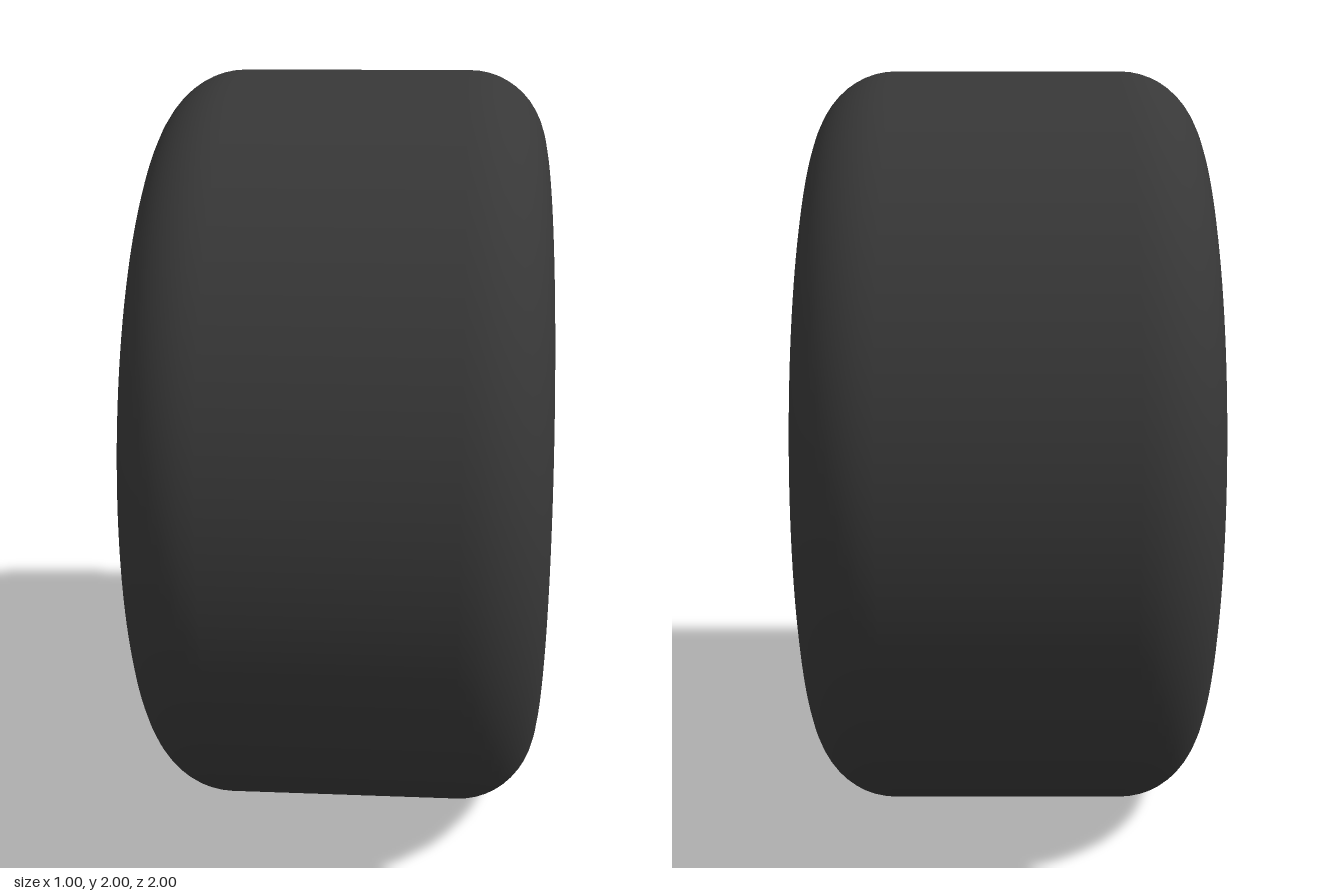
import * as THREE from 'three';

const rubber = new THREE.MeshStandardMaterial({ color: 0x383838, side: THREE.DoubleSide });
const metal = new THREE.MeshStandardMaterial({ color: 0xcccccc, side: THREE.DoubleSide });
const SPOKES = 8;
const STEP = (Math.PI * 2) / SPOKES;

// Lathe a profile of [radius, x] points around the x axis
function turned(name, profile, material, segments = 96, start = 0, sweep = Math.PI * 2) {
  const points = profile.map(([r, x]) => new THREE.Vector2(r, x));
  const geometry = new THREE.LatheGeometry(points, segments, start, sweep);
  geometry.rotateZ(-Math.PI / 2);
  const mesh = new THREE.Mesh(geometry, material);
  mesh.name = name;
  return mesh;
}

// Rounded tyre cross-section, from one bead over the tread to the other
function tyreProfile() {
  const profile = [[0.64, -0.5], [0.79, -0.5]];
  const arc = 12;
  for (const side of [-1, 1]) {
    for (let i = 0; i <= arc; i++) {
      const t = (i / arc) * Math.PI / 2;
      const a = side < 0 ? t : Math.PI / 2 - t;
      profile.push([0.8 + 0.2 * Math.sin(a), side * (0.3 + 0.2 * Math.cos(a))]);
    }
    if (side < 0) profile.push([1, -0.29], [1, 0.29]);
  }
  profile.push([0.79, 0.5], [0.64, 0.5]);
  return profile;
}

// Flat blade, narrow and thin at the hub, wide and thicker at the rim
function spokeGeometry() {
  const inner = 0.115, outer = 0.606, front = 0.32;
  const geometry = new THREE.BoxGeometry(1, 1, 1);
  const p = geometry.attributes.position;
  for (let i = 0; i < p.count; i++) {
    const atRim = p.getY(i) > 0;
    const back = atRim ? 0 : 0.285;
    p.setXYZ(i,
      p.getX(i) > 0 ? front : back,
      atRim ? outer : inner,
      Math.sign(p.getZ(i)) * (atRim ? 0.013 : 0.003));
  }
  geometry.computeVertexNormals();
  return geometry;
}

export function createModel() {
  const wheel = new THREE.Group();
  wheel.name = 'wheel';
  wheel.position.y = 1;

  // Tyre and its inner lining
  wheel.add(turned('tyre', tyreProfile(), rubber, 128));
  wheel.add(turned('tyreLining', [[0.64, 0.5], [0.64, -0.5]], rubber));

  // Rim: two barrels of slightly different radius with a gap at the step
  const rim = new THREE.Group();
  rim.name = 'rim';
  rim.add(turned('backBarrel', [[0.618, -0.47], [0.618, 0]].reverse(), metal));
  rim.add(turned('frontBarrel', [[0.604, 0.32], [0.604, 0]], metal));
  rim.add(turned('frontBarrelEdge', [[0.604, 0.49], [0.604, 0.47]], metal));

  // Slots in the barrel ahead of each spoke
  const slot = 0.021;
  for (let i = 0; i < SPOKES; i++) {
    rim.add(turned('slottedBarrel', [[0.604, 0.47], [0.604, 0.32]], metal,
      12, i * STEP + slot, STEP - 2 * slot));
  }

  // Lips on both sides
  rim.add(turned('frontLip', [[0.634, 0.495], [0.612, 0.495]], metal));
  rim.add(turned('frontLipBevel', [[0.612, 0.495], [0.604, 0.485]], metal));
  rim.add(turned('backLip', [[0.618, -0.495], [0.634, -0.495]], metal));
  rim.add(turned('backLipBevel', [[0.618, -0.47], [0.618, -0.495]], metal));
  wheel.add(rim);

  // Hub
  const hub = new THREE.Mesh(new THREE.CylinderGeometry(0.125, 0.125, 0.66, 48), metal);
  hub.name = 'hub';
  hub.rotation.z = -Math.PI / 2;
  wheel.add(hub);

  // Spokes
  const blade = spokeGeometry();
  for (let i = 0; i < SPOKES; i++) {
    const spoke = new THREE.Mesh(blade, metal);
    spoke.name = 'spoke';
    spoke.rotation.x = i * STEP;
    wheel.add(spoke);
  }

  const model = new THREE.Group();
  model.name = 'wheelModel';
  model.add(wheel);
  return model;
}
